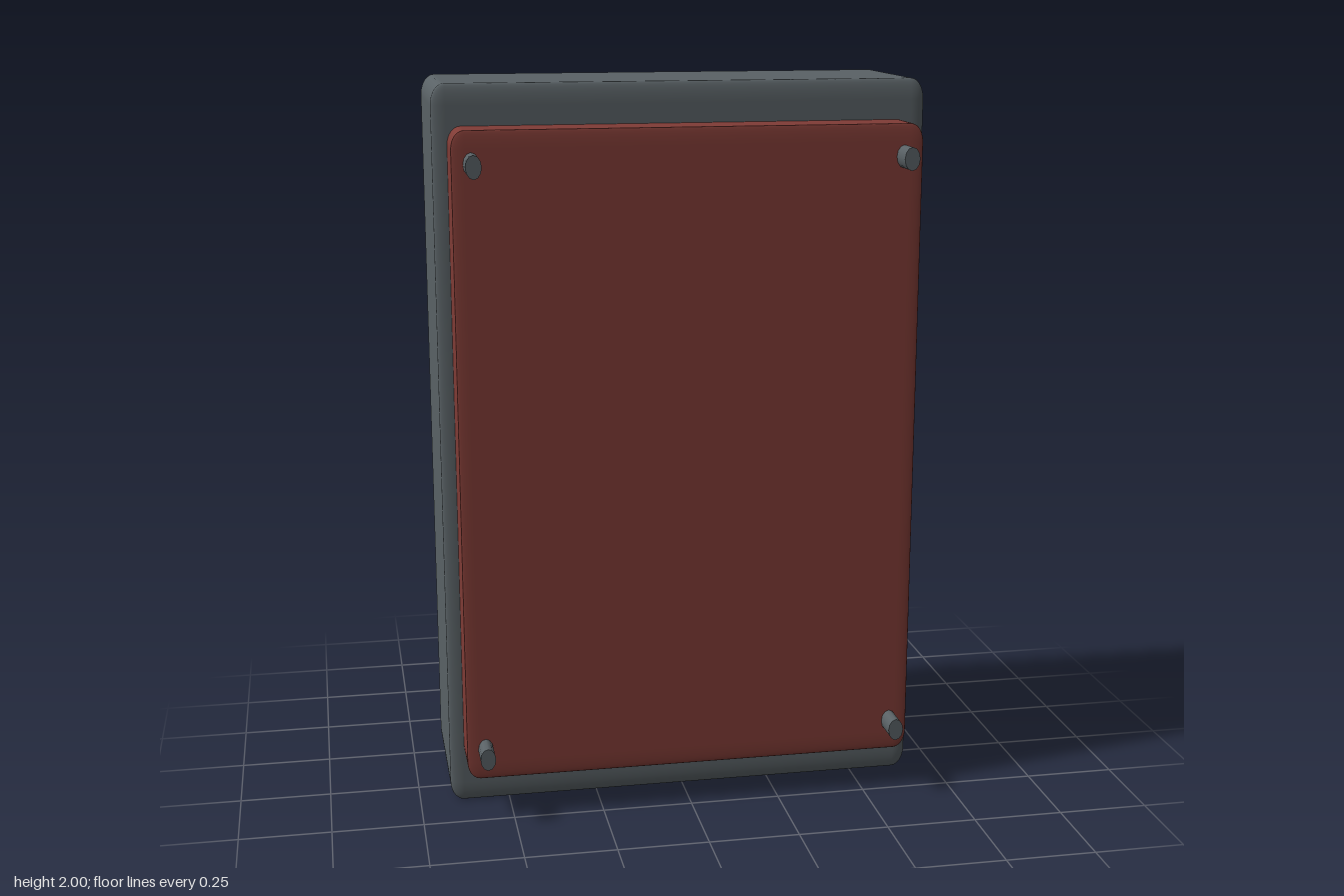
import * as THREE from 'three';
import { RoundedBoxGeometry } from 'three/addons/geometries/RoundedBoxGeometry.js';

export function createModel() {
  const model = new THREE.Group();
  model.name = 'enclosure';

  const grey = new THREE.MeshStandardMaterial({ color: 0x5a6266 });
  grey.name = 'slate grey';
  const red = new THREE.MeshStandardMaterial({ color: 0x803c36 });
  red.name = 'brick red';

  // Stretched rounded box between two corners; edge rounding scales with each side
  function roundedSlab(name, min, max, rounding, material) {
    const [w, h, d] = max.map((v, i) => v - min[i]);
    const geometry = new RoundedBoxGeometry(1, 1, 1, 4, rounding);
    geometry.scale(w, h, d);
    const mesh = new THREE.Mesh(geometry, material);
    mesh.name = name;
    mesh.position.set(min[0] + w / 2, min[1] + h / 2, min[2] + d / 2);
    model.add(mesh);
  }

  // Deep housing with a raised front cover
  roundedSlab('housing', [-0.665, 0, -0.312], [0.665, 2, 0.113], 0.028, grey);
  roundedSlab('frontCover', [-0.625, 0.118, 0.08], [0.625, 1.89, 0.24], 0.028, red);

  // Four slightly oval pins at the corners of the cover
  const pinGeometry = new THREE.CylinderGeometry(1, 1, 0.092, 12);
  pinGeometry.rotateX(Math.PI / 2);
  pinGeometry.scale(0.021, 0.031, 1);
  for (const x of [-0.574, 0.574]) {
    for (const y of [0.203, 1.803]) {
      const pin = new THREE.Mesh(pinGeometry, grey);
      pin.name = `${y > 1 ? 'upper' : 'lower'}${x > 0 ? 'Left' : 'Right'}Pin`;
      pin.position.set(x, y, 0.266);
      model.add(pin);
    }
  }

  return model;
}
